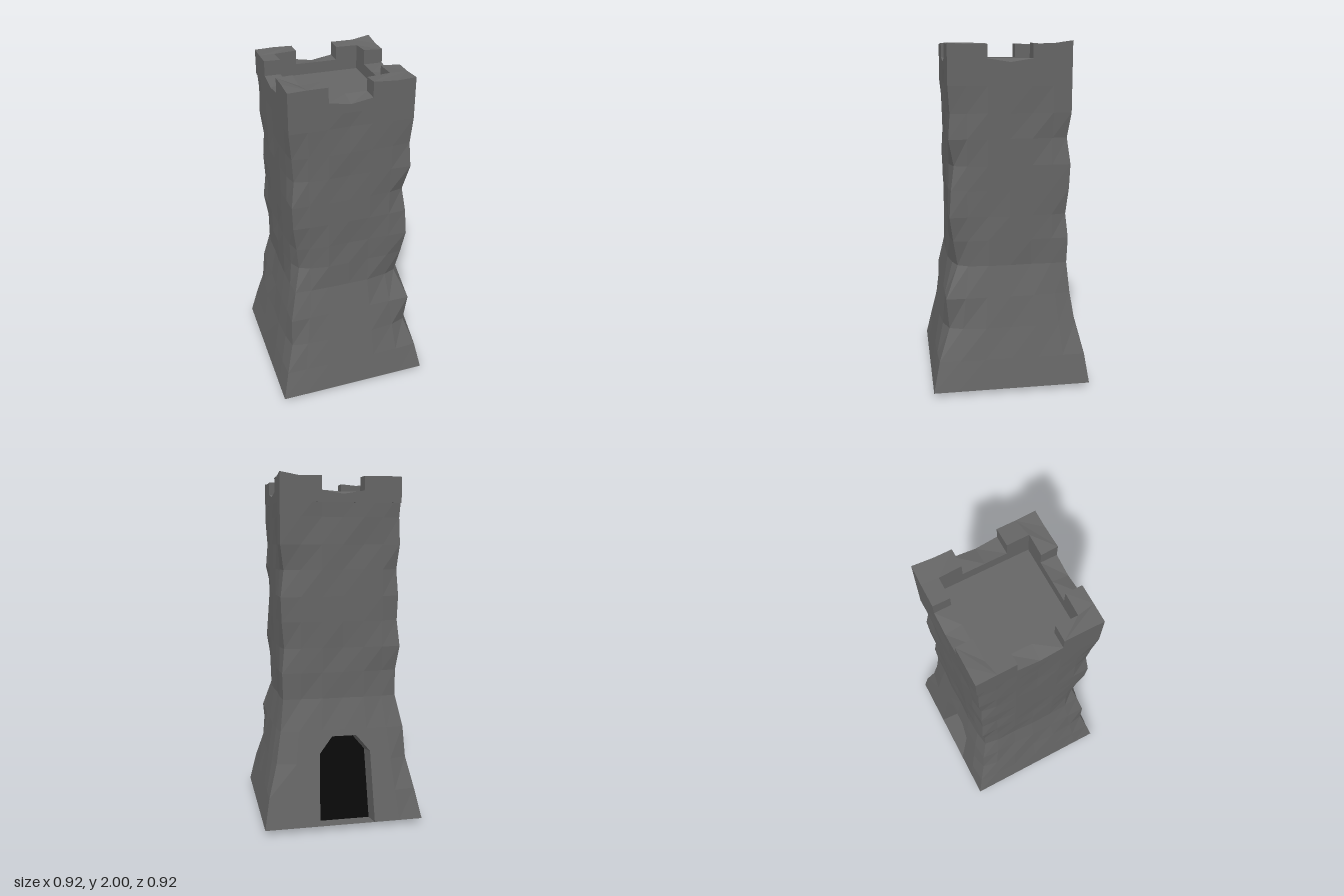
import * as THREE from 'three';

const V = (x, y, z) => new THREE.Vector3(x, y, z);

// Row heights, and how far each corner is chipped in at every row
const ROWS = [0.025, 0.2, 0.38, 0.56, 0.74, 0.89, 1.03, 1.18, 1.32, 1.47, 1.61, 1.76, 1.9];
const DIPS = [
  [0, 0.01, 0.025, 0, 0.01, 0.045, 0.03, 0.01, 0.005, 0.025, 0.015, 0, 0], // front, -x
  [0, 0.01, 0.045, 0, 0.045, 0.02, 0, 0.01, 0.03, 0, 0.01, 0, 0],          // front, +x
  [0, 0, 0.02, 0.02, 0.01, 0.005, 0.02, 0.005, 0, 0.02, 0, 0, 0],          // back, +x
  [0, 0.01, 0.025, 0.01, 0.02, 0.02, 0, 0.015, 0.01, 0.02, 0.005, 0.01, 0], // back, -x
];
const COLS_Z = [-1, -0.7, -0.38, -0.03, 0.32, 0.67, 1];
const COLS_X = [-1, -0.7, -0.365, 0, 0.365, 0.7, 1];
const TOP = 1.985, CRENEL = 1.905, FLOOR = 1.84, HALF = 0.344, SAG = 0.02;

// Half width of the tower: flared foot, straight shaft
const half = (y) => HALF + 0.114 * Math.max(0, (0.74 - y) / 0.715);

function seeded(seed) {
  return () => {
    seed = (seed * 16807) % 2147483647;
    return seed / 2147483647;
  };
}

function flatMesh(name, points, material) {
  const geometry = new THREE.BufferGeometry().setFromPoints(points);
  geometry.computeVertexNormals();
  const mesh = new THREE.Mesh(geometry, material);
  mesh.name = name;
  return mesh;
}

const quad = (out, a, b, c, d) => out.push(a, b, c, a, c, d);

// Fills an outline that runs counter-clockwise as seen from outside the back wall
function fillBack(out, outline) {
  const flat = outline.map((p) => new THREE.Vector2(-p.x, p.y));
  for (const face of THREE.ShapeUtils.triangulateShape(flat, [])) {
    for (const i of face) out.push(outline[i]);
  }
}

// Grid of points for one wall; side 0 front, 1 right, 2 back, 3 left
function wallGrid(side, rand) {
  const base = side % 2 ? COLS_X : COLS_Z;
  const cols = side === 2 ? base.map((u) => -u).reverse() : base;
  return ROWS.map((y, j) => cols.map((u, i) => {
    const h = half(y);
    const dip = DIPS[(side + (i > 3 ? 1 : 0)) % 4][j];
    const chip = Math.max(0, rand() - 0.75) * 0.03;
    const flat = j === 0 || j === 12 || (side === 2 && j <= 3);
    let across = u * h, out = h;
    if (i === 0 || i === 6) {
      across = u * (h - dip);
      out = h - dip;
    } else if (!flat) {
      out -= chip + (i === 1 || i === 5 ? dip * 0.3 : 0);
    }
    const height = j === 12 ? CRENEL - (i === 3 ? SAG : 0) : y;
    return V(across, height, out).applyAxisAngle(V(0, 1, 0), side * Math.PI / 2);
  }));
}

export function createModel() {
  const group = new THREE.Group();
  const stone = new THREE.MeshStandardMaterial({ color: 0x666666, flatShading: true });
  const thin = stone.clone();
  thin.side = THREE.DoubleSide;
  const dark = new THREE.MeshStandardMaterial({ color: 0x090909, flatShading: true, side: THREE.DoubleSide });
  const rand = seeded(41);

  // Doorway outline on the sloping back wall, and the same outline set in
  const door = [[0.145, 0.025], [0.135, 0.43], [0.06, 0.525], [-0.08, 0.525], [-0.16, 0.43], [-0.175, 0.025]]
    .map(([x, y]) => V(x, y, -half(y)));
  const inset = door.map((p) => p.clone().add(V(0, -0.025, 0.14)));

  // Walls of rough stone, leaving the lower middle of the back for the doorway
  const names = ['frontWall', 'rightWall', 'backWall', 'leftWall'];
  names.forEach((name, side) => {
    const grid = wallGrid(side, rand);
    const points = [];
    for (let j = 0; j < 12; j++) {
      for (let i = 0; i < 6; i++) {
        if (side === 2 && j < 3 && i > 0 && i < 5) continue;
        quad(points, grid[j][i], grid[j][i + 1], grid[j + 1][i + 1], grid[j + 1][i]);
      }
    }
    if (side === 2) fillBack(points, [grid[0][1], ...door, grid[0][5], grid[3][5], grid[3][1]]);
    group.add(flatMesh(name, points, stone));
  });

  // Underside
  const y0 = ROWS[0], b = half(y0);
  const under = [];
  quad(under, V(-b, y0, -b), V(b, y0, -b), V(b, y0, b), V(-b, y0, b));
  group.add(flatMesh('underside', under, stone));

  // Door frame with sill, and the dark door behind it
  const frame = [], panel = [];
  door.forEach((p, i) => {
    const n = (i + 1) % door.length;
    quad(frame, p, inset[i], inset[n], door[n]);
  });
  fillBack(panel, inset);
  group.add(flatMesh('doorFrame', frame, thin), flatMesh('door', panel, dark));

  // Roof floor inside the parapet
  const inX = [-0.255, 0.235], gapX = [-0.13, 0.11], inZ = 0.25, gapZ = 0.125;
  const floor = new THREE.Mesh(new THREE.PlaneGeometry(0.5, 0.51), stone);
  floor.rotation.x = -Math.PI / 2;
  floor.position.set(-0.01, FLOOR, 0);
  floor.name = 'roofFloor';
  group.add(floor);

  // Low parapet in each gap, its outer edge worn down in the middle
  function parapet(x0, x1, z0, z1, alongX) {
    const geometry = new THREE.BoxGeometry(x1 - x0, CRENEL - FLOOR, z1 - z0, alongX ? 2 : 1, 1, alongX ? 1 : 2);
    geometry.translate((x0 + x1) / 2, (CRENEL + FLOOR) / 2, (z0 + z1) / 2);
    const pos = geometry.attributes.position;
    for (let i = 0; i < pos.count; i++) {
      const along = alongX ? pos.getX(i) : pos.getZ(i);
      const across = Math.abs(alongX ? pos.getZ(i) : pos.getX(i));
      if (pos.getY(i) > FLOOR + 0.01 && Math.abs(along) < 0.05 && across > 0.3) pos.setY(i, CRENEL - SAG);
    }
    geometry.computeVertexNormals();
    const mesh = new THREE.Mesh(geometry, stone);
    mesh.name = 'parapet';
    group.add(mesh);
  }
  parapet(gapX[0], gapX[1], inZ, HALF, true);
  parapet(gapX[0], gapX[1], -HALF, -inZ, true);
  parapet(inX[1], HALF, -gapZ, gapZ, false);
  parapet(-HALF, inX[0], -gapZ, gapZ, false);

  // L-shaped corner merlons with slightly uneven tops
  for (const sx of [-1, 1]) {
    for (const sz of [-1, 1]) {
      const xi = inX[sx > 0 ? 1 : 0], xg = gapX[sx > 0 ? 1 : 0];
      const xo = sx * HALF, zo = sz * HALF;
      const outline = [
        [xo, zo], [xo, sz * 0.23], [xo, sz * gapZ], [xi, sz * gapZ],
        [xi, sz * inZ], [xg, sz * inZ], [xg, zo], [sx * 0.24, zo],
      ];
      const shape = new THREE.Shape(outline.map(([x, z]) => new THREE.Vector2(x, -z)));
      const geometry = new THREE.ExtrudeGeometry(shape, { depth: TOP - FLOOR, bevelEnabled: false });
      geometry.rotateX(-Math.PI / 2).translate(0, FLOOR, 0);
      const pos = geometry.attributes.position;
      const wear = outline.map(() => (rand() - 0.6) * 0.012);
      if (sx > 0 && sz < 0) wear[0] = 2 - TOP;
      for (let i = 0; i < pos.count; i++) {
        if (pos.getY(i) < TOP - 0.01) continue;
        const k = outline.findIndex(([x, z]) => Math.hypot(x - pos.getX(i), z - pos.getZ(i)) < 0.001);
        pos.setY(i, TOP + wear[k]);
      }
      geometry.computeVertexNormals();
      const mesh = new THREE.Mesh(geometry, stone);
      mesh.name = 'merlon';
      group.add(mesh);
    }
  }
  return group;
}
